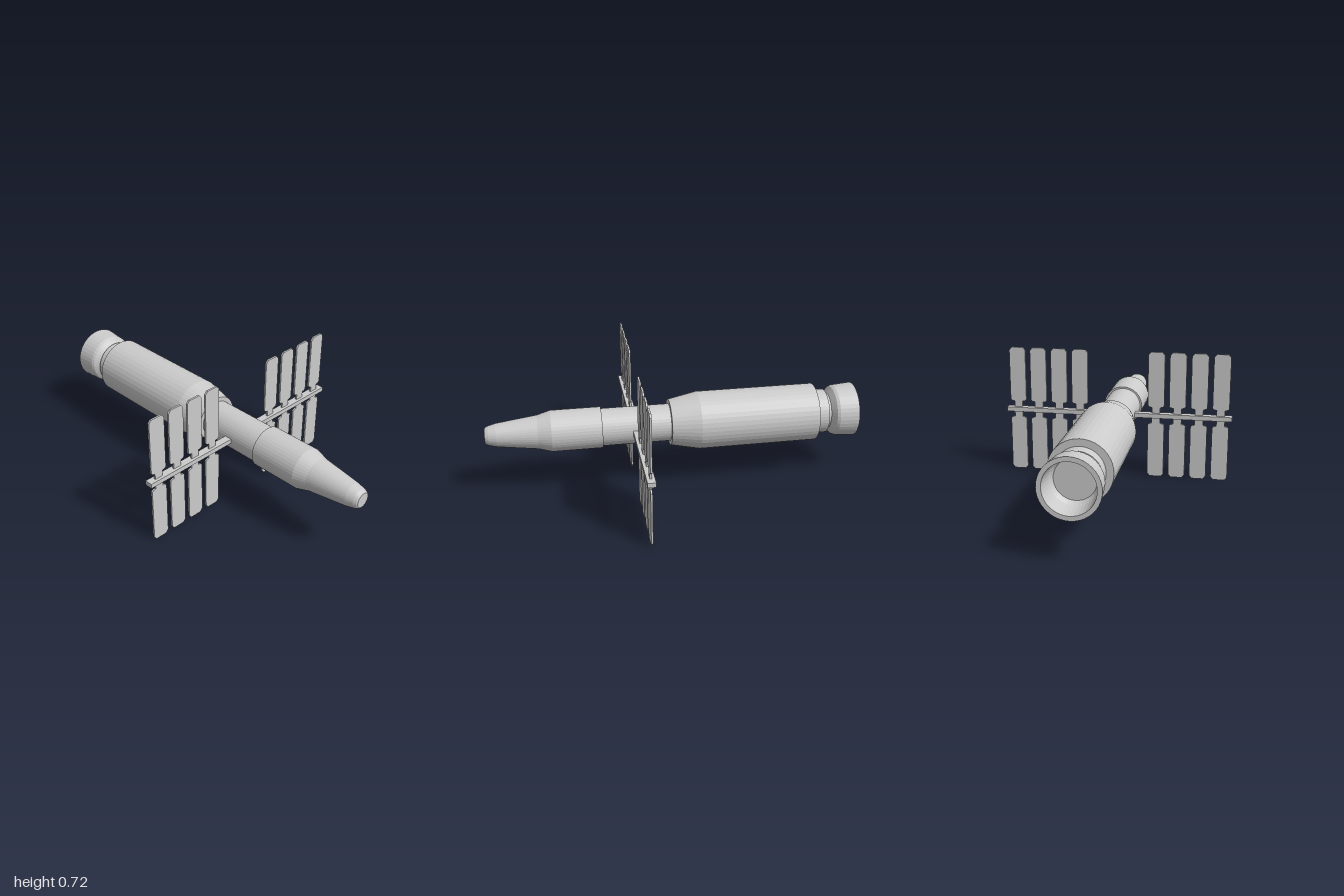
import * as THREE from 'three';

const AXIS_Y = 0.36;
const material = new THREE.MeshStandardMaterial({ color: 0xcccccc, flatShading: true });

// Turned part lying along x; profile is a list of [x, radius] from tail to nose
function turned(name, profile) {
  const points = profile.map(([x, r]) => new THREE.Vector2(r, x));
  const geometry = new THREE.LatheGeometry(points, 40);
  geometry.rotateZ(-Math.PI / 2);
  const mesh = new THREE.Mesh(geometry, material);
  mesh.name = name;
  mesh.position.y = AXIS_Y;
  return mesh;
}

// Solar panel with clipped corners and a narrow stem, standing upward from y = 0
function panelGeometry() {
  const half = [
    [0.023, 0], [0.023, 0.045], [0.037, 0.048], [0.046, 0.056],
    [0.046, 0.342], [0.032, 0.359],
  ];
  const outline = [...half, ...half.map(([z, y]) => [-z, y]).reverse()];
  const shape = new THREE.Shape(outline.map(([z, y]) => new THREE.Vector2(z, y)));
  const depth = 0.01;
  const geometry = new THREE.ExtrudeGeometry(shape, { depth, bevelEnabled: false });
  geometry.translate(0, 0, -depth / 2);
  geometry.rotateY(Math.PI / 2);
  return geometry;
}

export function createModel() {
  const model = new THREE.Group();
  model.name = 'spacecraft';

  // Hollow engine bell at the tail
  model.add(turned('engineBell', [
    [-0.875, 0], [-0.875, 0.1], [-0.9, 0.115], [-1, 0.124],
    [-1, 0.147], [-0.895, 0.139], [-0.88, 0.132], [-0.857, 0.1],
    [-0.835, 0.1], [-0.835, 0],
  ]));
  model.add(turned('engineCollar', [[-0.84, 0], [-0.84, 0.12], [-0.77, 0.12], [-0.77, 0]]));

  // Main hull sections
  model.add(turned('mainHull', [
    [-0.775, 0], [-0.775, 0.156], [-0.13, 0.156], [0.025, 0.124], [0.025, 0],
  ]));
  model.add(turned('neck', [[0.02, 0], [0.02, 0.1], [0.395, 0.1], [0.395, 0]]));
  model.add(turned('forwardModule', [
    [0.39, 0], [0.39, 0.11], [0.655, 0.11], [0.725, 0.09], [0.725, 0],
  ]));
  model.add(turned('noseCone', [
    [0.725, 0], [0.725, 0.09], [0.94, 0.062], [0.98, 0.052], [0.995, 0.045], [1, 0.039], [1, 0],
  ]));

  // Cross beam carrying the solar panels
  const array = new THREE.Group();
  array.name = 'solarArray';
  array.position.set(0.21, AXIS_Y, 0);
  const beam = new THREE.Mesh(new THREE.BoxGeometry(0.042, 0.025, 1.28), material);
  beam.name = 'crossBeam';
  array.add(beam);

  // Four pairs of panels on each side
  const geometry = panelGeometry();
  for (const side of [-1, 1]) {
    for (let i = 0; i < 4; i++) {
      for (const up of [true, false]) {
        const panel = new THREE.Mesh(geometry, material);
        panel.name = up ? 'upperPanel' : 'lowerPanel';
        panel.position.z = side * (0.217 + i * 0.12);
        if (!up) panel.rotation.x = Math.PI;
        array.add(panel);
      }
    }
  }
  model.add(array);
  return model;
}
